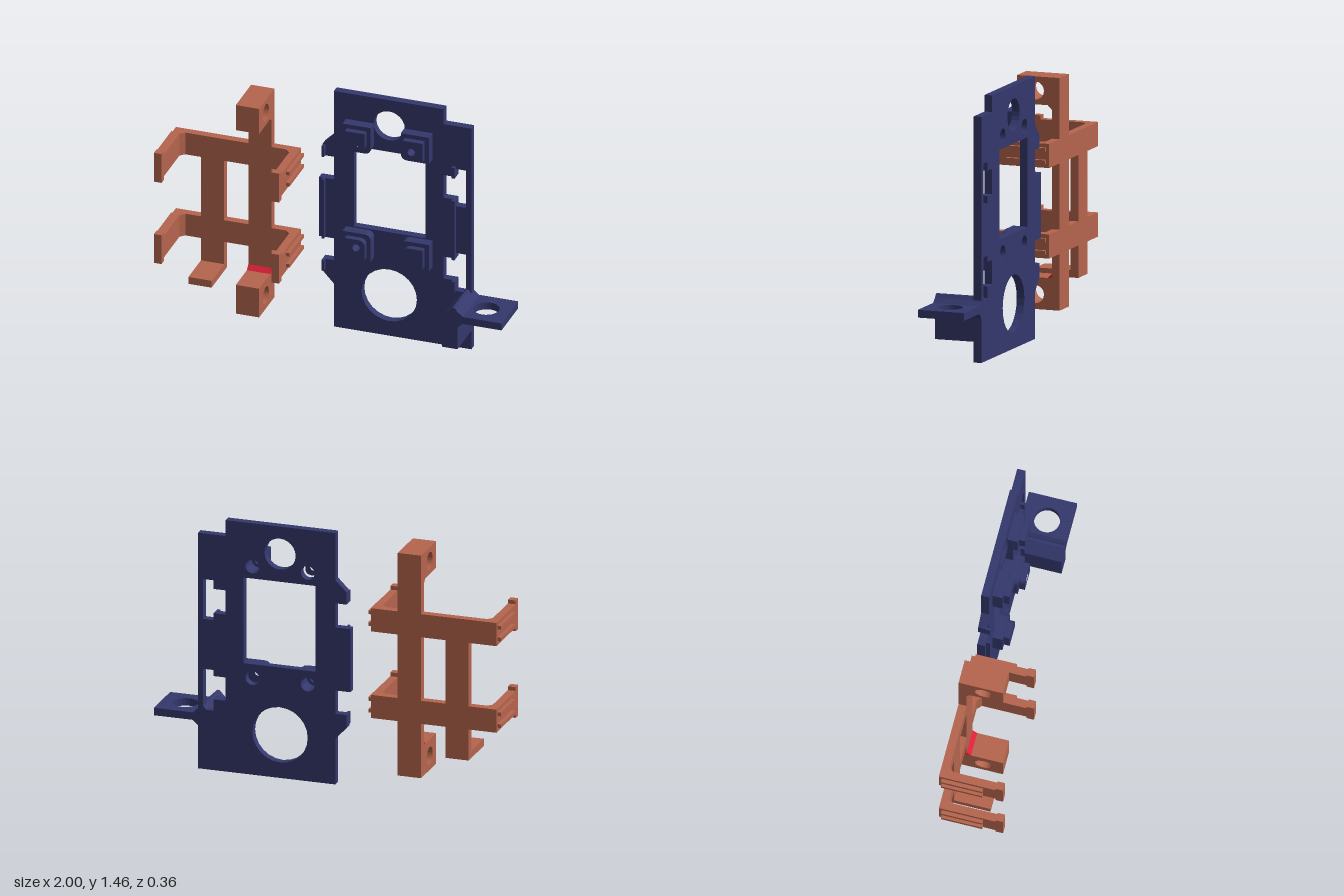
import * as THREE from 'three';

const NAVY = 0x34386c, CLAY = 0xb5654d, RED = 0xdc2038;
const BACK = -0.182, FACE = -0.137; // rear and front of both base plates

const material = (color) => new THREE.MeshStandardMaterial({ color, flatShading: true });
const navy = material(NAVY), clay = material(CLAY), red = material(RED);

function add(parent, name, geometry, mat) {
  const mesh = new THREE.Mesh(geometry, mat);
  mesh.name = name;
  parent.add(mesh);
  return mesh;
}

function polygon(points) {
  return new THREE.Shape(points.map(([x, y]) => new THREE.Vector2(x, y)));
}

function circle(x, y, r) {
  return new THREE.Path().absarc(x, y, r, 0, Math.PI * 2, true);
}

function extrude(shape, from, to) {
  const g = new THREE.ExtrudeGeometry(shape, { depth: to - from, bevelEnabled: false, curveSegments: 12 });
  return g.translate(0, 0, from);
}

// Profile drawn in (-z, y), extruded along x
const extrudeX = (shape, from, to) => extrude(shape, from, to).rotateY(Math.PI / 2);
// Profile drawn in (x, -z), extruded along y
const extrudeY = (shape, from, to) => extrude(shape, from, to).rotateX(-Math.PI / 2);

function box(x0, x1, y0, y1, z0, z1) {
  return new THREE.BoxGeometry(x1 - x0, y1 - y0, z1 - z0)
    .translate((x0 + x1) / 2, (y0 + y1) / 2, (z0 + z1) / 2);
}

// Square pad with one rounded corner, pointing to the window
function padShape(x, y, sx, sy, lo, hi, round, hole) {
  const s = new THREE.Shape();
  s.moveTo(x + sx * lo, y + sy * lo);
  s.lineTo(x + sx * hi, y + sy * lo);
  s.lineTo(x + sx * hi, y + sy * (hi - round));
  s.quadraticCurveTo(x + sx * hi, y + sy * hi, x + sx * (hi - round), y + sy * hi);
  s.lineTo(x + sx * lo, y + sy * hi);
  s.closePath();
  s.holes.push(circle(x, y, hole));
  return s;
}

function mountingPlate() {
  const group = new THREE.Group();
  group.name = 'mountingPlate';
  const bosses = [[0.11, 1.207, 1, -1], [0.43, 1.207, -1, -1], [0.11, 0.56, 1, 1], [0.43, 0.56, -1, 1]];

  // Plate with notched edges, window, cable holes and latch slots
  const plate = polygon([
    [-0.05, 0], [0.745, 0], [0.745, 1.365], [0.585, 1.365], [0.585, 1.457], [-0.05, 1.457],
    [-0.05, 1.185], [-0.115, 1.12], [-0.115, 1.05], [-0.05, 1.05], [-0.05, 0.91], [-0.136, 0.91],
    [-0.136, 0.545], [-0.05, 0.545], [-0.05, 0.41], [-0.115, 0.41], [-0.115, 0.335], [-0.05, 0.265],
  ]);
  plate.holes.push(
    polygon([[0.065, 0.64], [0.065, 1.137], [0.48, 1.137], [0.48, 0.64]]),
    circle(0.27, 1.297, 0.09),
    circle(0.27, 0.25, 0.16),
  );
  for (const [y0, y1, out0, out1] of [[0.91, 1.05, 0.87, 1.1], [0.41, 0.545, 0.345, 0.58]]) {
    plate.holes.push(polygon([
      [0.585, y0], [0.655, y0], [0.655, out0], [0.715, out0],
      [0.715, out1], [0.655, out1], [0.655, y1], [0.585, y1],
    ]));
  }
  for (const [x, y] of bosses) plate.holes.push(circle(x, y, 0.04));
  add(group, 'plate', extrude(plate, BACK, FACE), navy);

  // Stepped screw bosses, counterbored from the back
  for (const [x, y, sx, sy] of bosses) {
    add(group, 'bossBase', extrude(padShape(x, y, sx, sy, -0.09, 0.073, 0.04, 0.04), FACE, -0.08), navy);
    add(group, 'bossTop', extrude(padShape(x, y, sx, sy, -0.065, 0.05, 0.04, 0.022), -0.08, -0.046), navy);
  }

  // Thin lips beside the latch slots
  for (const [y0, y1] of [[0.345, 0.41], [0.545, 0.91], [1.05, 1.115]]) {
    add(group, 'rightLip', box(0.637, 0.655, y0, y1, FACE, -0.115), navy);
    add(group, 'leftLip', box(-0.115, -0.1, y0, y1, FACE, -0.115), navy);
  }

  // Bracket block with chamfered shoulders
  const block = polygon([
    [0.655, 0.115], [0.745, 0.115], [0.745, 0.25], [0.775, 0.277],
    [0.775, 0.32], [0.745, 0.345], [0.73, 0.365], [0.715, 0.365], [0.655, 0.3],
  ]);
  add(group, 'bracketBlock', extrude(block, BACK, 0.09), navy);

  // Horizontal ear with an eyelet
  const ear = polygon([[0.77, -0.09], [1, -0.09], [1, -BACK], [0.77, -BACK]]);
  ear.holes.push(circle(0.865, 0.045, 0.072));
  add(group, 'bracketEar', extrudeY(ear, 0.277, 0.32), navy);
  return group;
}

function clipFrame() {
  const group = new THREE.Group();
  group.name = 'clipFrame';
  const MID = -0.6175;
  const mirror = (x) => 2 * MID - x;

  // Uprights
  add(group, 'leftUpright', box(-0.82, -0.685, 0.23, 1.0, BACK, FACE), clay);
  add(group, 'rightUpright', box(-0.545, -0.41, 0.095, 1.385, BACK, FACE), clay);
  add(group, 'foot', box(-0.82, -0.685, 0.23, 0.272, FACE, 0.068), clay);

  // Drilled end blocks, each with a small fillet against the upright
  for (const [name, y0, y1, hole, edge, fillet, mat] of [
    ['topBlock', 1.23, 1.385, 1.307, 1.23, 1.205, clay],
    ['bottomBlock', 0.095, 0.272, 0.178, 0.272, 0.297, red],
  ]) {
    const side = polygon([[-0.068, y0], [-FACE, y0], [-FACE, y1], [-0.068, y1]]);
    side.holes.push(circle(0.04, hole, 0.05));
    add(group, name, extrudeX(side, -0.545, -0.41), clay);
    const wedge = polygon([[-FACE, edge], [-FACE, fillet], [-FACE - 0.025, edge]]);
    add(group, name + 'Fillet', extrudeX(wedge, -0.545, -0.41), mat);
  }

  // U-shaped clips: crossbar, two arms with hooked tips and grip ridges
  const half = [
    [-0.255, -BACK], [-0.255, -0.18], [-0.3, -0.18], [-0.3, 0.112], [-0.325, -FACE],
  ];
  const outline = polygon([
    ...half,
    ...half.slice().reverse().map(([x, y]) => [mirror(x), y]),
  ]);
  for (const y of [0.41, 0.912]) {
    add(group, 'clip', extrudeY(outline, y, y + 0.134), clay);
    for (const side of [1, -1]) {
      const at = (a, b, ...rest) => side > 0 ? box(a, b, ...rest) : box(mirror(b), mirror(a), ...rest);
      add(group, 'clipTip', at(-0.3, -0.255, y - 0.022, y + 0.156, 0.138, 0.18), clay);
      for (const dy of [0.024, 0.092]) {
        add(group, 'gripRidge', at(-0.256, -0.234, y + dy, y + dy + 0.021, -0.165, 0.068), clay);
      }
    }
  }
  return group;
}

export function createModel() {
  const model = new THREE.Group();
  model.name = 'mountAndClip';
  model.add(mountingPlate(), clipFrame());
  return model;
}
